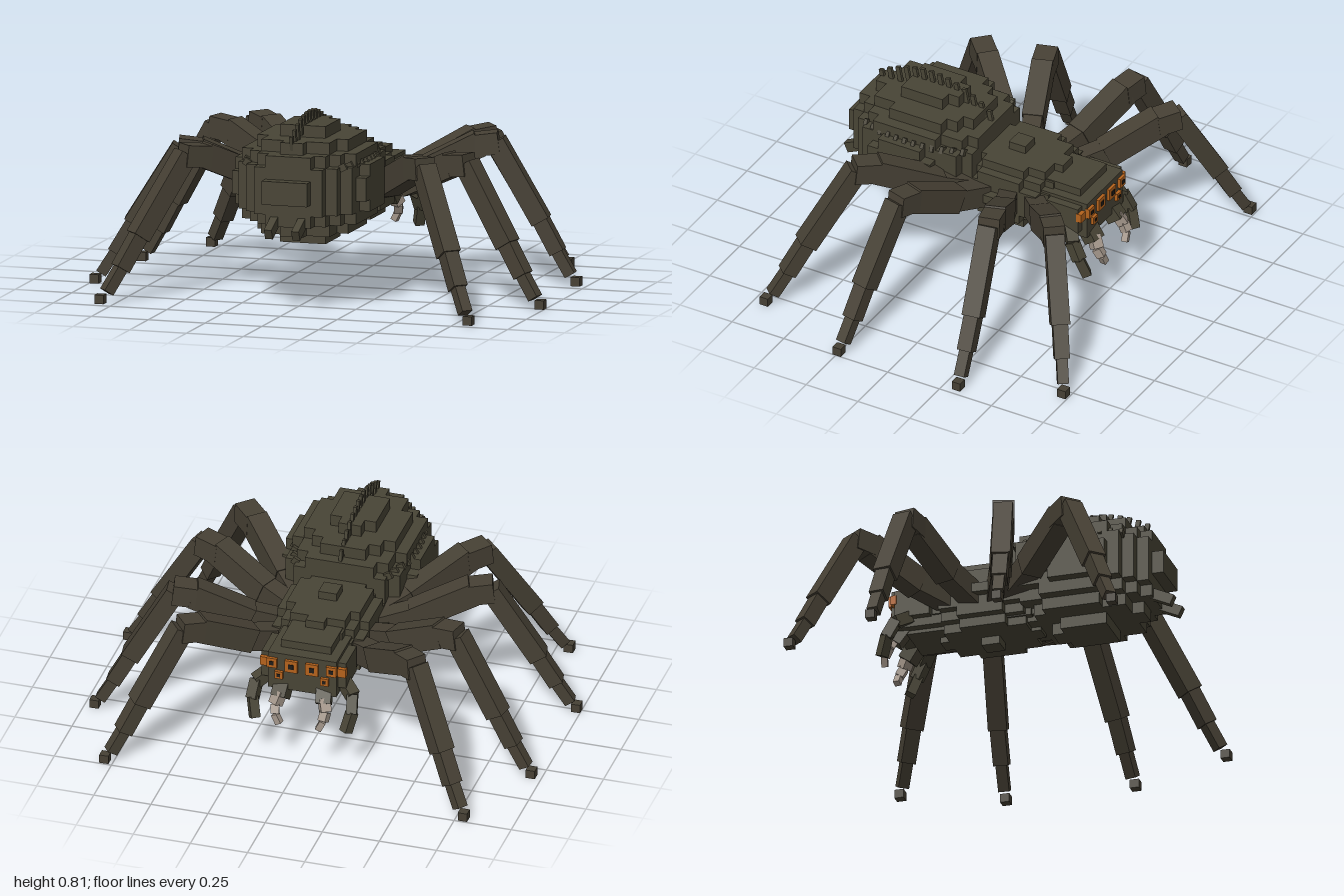
import * as THREE from 'three';
import { mergeGeometries } from 'three/addons/utils/BufferGeometryUtils.js';

const mat = (name, color) => {
  const m = new THREE.MeshStandardMaterial({ color });
  m.name = name;
  return m;
};

export function createModel() {
  const root = new THREE.Group();
  root.name = 'spider';
  const body = mat('dark olive shell', 0x484435);
  const legMat = mat('dark brown leg', 0x464034);
  const fangMat = mat('pale fang', 0xa3968a);
  const eyeMat = mat('orange eye', 0xb4621c);
  const pupilMat = mat('black pupil', 0x201c18);

  const box = (name, w, h, d, x, y, z, m = body, parent = root) => {
    const mesh = new THREE.Mesh(new THREE.BoxGeometry(w, h, d), m);
    mesh.name = name;
    mesh.position.set(x, y, z);
    parent.add(mesh);
    return mesh;
  };

  // Square beam running between two points
  const beam = (name, a, b, w, h, m, parent = root, extra = 0) => {
    const p = new THREE.Vector3(...a), q = new THREE.Vector3(...b);
    const mesh = box(name, w, h, p.distanceTo(q) + extra, 0, 0, 0, m, parent);
    mesh.position.copy(p).add(q).multiplyScalar(0.5);
    mesh.lookAt(q);
    return mesh;
  };

  // Stepped block shape: each row of cells becomes one box spanning -x to x
  const blocks = (name, ys, zs, cell, halfWidth) => {
    const geos = [];
    for (const y of ys) for (const z of zs) {
      const half = halfWidth(y, z);
      if (half > 0) geos.push(new THREE.BoxGeometry(half * 2, cell, cell).translate(0, y, z));
    }
    const mesh = new THREE.Mesh(mergeGeometries(geos), body);
    mesh.name = name;
    root.add(mesh);
  };
  const steps = (start, count, size) => Array.from({ length: count }, (_, i) => start + i * size);

  // Abdomen, blunt at the waist and rounder at the tail
  blocks('abdomen', steps(0.285, 10, 0.05), steps(0.075, 13, 0.05), 0.05, (y, z) => {
    const dz = z - 0.35;
    const r = 1 - ((y - 0.51) / 0.24) ** 2 - (dz / (dz > 0 ? 0.34 : 0.4)) ** 2;
    return r > 0 ? Math.min(0.295, Math.round(0.3 * Math.sqrt(r) / 0.05) * 0.05) : 0;
  });

  // Thorax with a small raised block above and below
  blocks('thorax', steps(0.315, 7, 0.04), steps(-0.355, 15, 0.04), 0.04, (y, z) => {
    const r = 1 - ((y - 0.435) / 0.165) ** 2 - ((z + 0.075) / 0.31) ** 2;
    return r > 0 ? Math.round(0.225 * Math.sqrt(r) / 0.04) * 0.04 : 0;
  });
  box('thoraxBoss', 0.08, 0.35, 0.08, 0, 0.435, -0.075);
  box('waist', 0.26, 0.2, 0.14, 0, 0.43, 0.06);

  // Head
  box('headCore', 0.30, 0.17, 0.255, 0, 0.42, -0.3475);
  box('headSides', 0.37, 0.12, 0.15, 0, 0.43, -0.375);
  box('headCrown', 0.22, 0.22, 0.17, 0, 0.43, -0.335);

  for (const s of [1, -1]) {
    // Eyes: a large front pair flanked by smaller ones
    for (const [x, y, e] of [[0.045, 0.455, 0.055], [0.13, 0.46, 0.045], [0.1, 0.405, 0.035]]) {
      box('eye', e, e, 0.02, s * x, y, -0.478, eyeMat);
      box('pupil', e * 0.4, e * 0.4, 0.006, s * x, y, -0.488, pupilMat);
    }
    box('sideEye', 0.035, 0.04, 0.025, s * 0.17, 0.45, -0.455, eyeMat);

    // Jaws and curved fangs
    beam('jaw', [s * 0.085, 0.38, -0.42], [s * 0.095, 0.295, -0.48], 0.065, 0.065, body);
    const fang = [[0.095, 0.32, -0.475], [0.11, 0.27, -0.5], [0.105, 0.235, -0.52], [0.085, 0.195, -0.523]];
    for (let i = 0; i < 3; i++) {
      const [a, b] = [fang[i], fang[i + 1]].map(([x, y, z]) => [s * x, y, z]);
      beam('fang', a, b, 0.045 - i * 0.009, 0.045 - i * 0.009, fangMat);
    }

    // Feelers beside the jaws
    const palp = [[0.16, 0.37, -0.4], [0.21, 0.335, -0.44], [0.217, 0.27, -0.475], [0.2, 0.195, -0.5]];
    for (let i = 0; i < 3; i++) {
      const [a, b] = [palp[i], palp[i + 1]].map(([x, y, z]) => [s * x, y, z]);
      beam('feeler', a, b, 0.05 - i * 0.005, 0.05 - i * 0.005, body, root, 0.01);
    }

    // Spinnerets at the tail
    beam('spinneret', [s * 0.06, 0.4, 0.6], [s * 0.06, 0.34, 0.73], 0.033, 0.045, body);

    // Short bristles along the flanks
    for (let i = 0; i < 12; i++) {
      const z = 0.09 + i * 0.042;
      const x = 0.255 - 0.9 * (z - 0.33) ** 2;
      box('flankBristle', 0.03, 0.03, 0.016, s * x, 0.61, z).rotation.z = s * 0.5;
    }
  }

  // Row of bristles along the back
  for (let i = 0; i < 14; i++) {
    const z = 0.595 - i * 0.04;
    const top = 0.81 - 1.3 * (z - 0.36) ** 2;
    box('backBristle', 0.014, 0.07, 0.02, 0, top - 0.035, z).rotation.x = 0.2;
  }

  // Legs: hip and foot in plan, sideways bow, knee drop; shared joint fractions and heights
  const plans = [
    [0.15, -0.21, 0.785, -0.725, -0.02, 0.02],
    [0.17, -0.11, 0.955, -0.315, -0.045, 0],
    [0.17, -0.01, 0.98, 0.245, 0.03, 0.02],
    [0.15, 0.03, 0.81, 0.695, 0.015, 0],
  ];
  const joints = [[0, 0.425], [0.2, 0.48], [0.47, 0.59], [0.57, 0.6], [0.805, 0.275], [0.895, 0.145], [0.965, 0.05]];
  const widths = [0.08, 0.09, 0.092, 0.08, 0.064, 0.047];
  for (const s of [1, -1]) {
    plans.forEach(([hx, hz, fx, fz, bow, drop], n) => {
      const leg = new THREE.Group();
      leg.name = (s > 0 ? 'left' : 'right') + 'Leg' + (n + 1);
      root.add(leg);
      const pts = joints.map(([f, y]) => {
        const arch = Math.sin(Math.PI * f);
        return [s * (hx + (fx - hx) * f), y - drop * arch, hz + (fz - hz) * f + bow * arch];
      });
      widths.forEach((w, i) => {
        const tall = i < 2 ? w * 1.2 : w;
        beam('legSegment', pts[i], pts[i + 1], w, tall, legMat, leg, i < 3 ? 0.02 : 0.01);
      });
      box('foot', 0.04, 0.038, 0.04, s * fx, 0.019, fz, legMat, leg);
    });
  }
  return root;
}
